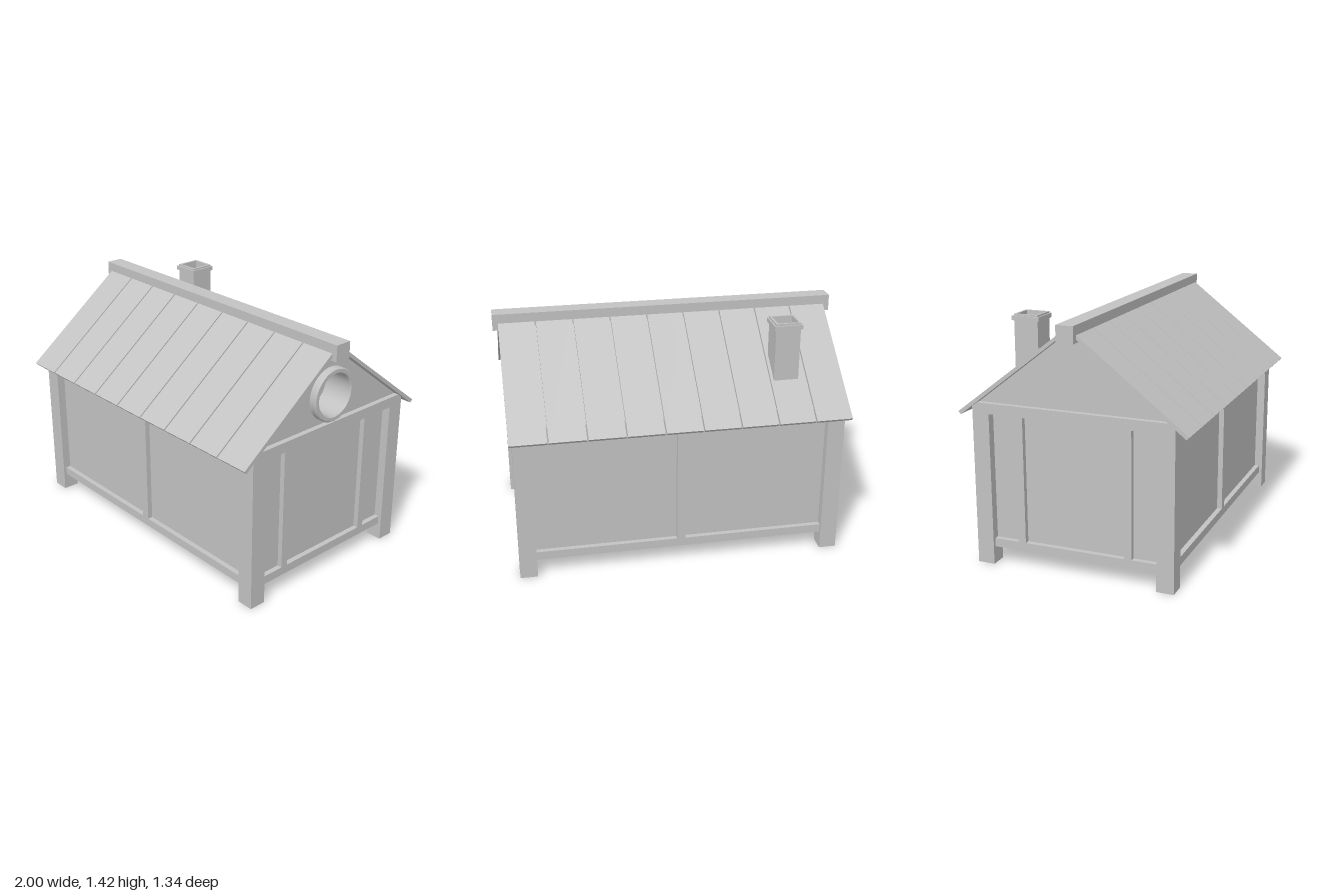
import * as THREE from 'three';
import { toCreasedNormals } from 'three/addons/utils/BufferGeometryUtils.js';

export function createModel() {
  const house = new THREE.Group();
  house.name = 'house';
  const grey = new THREE.MeshStandardMaterial({ color: 0xc2c2c2 });
  grey.name = 'plain grey';

  const add = (name, geometry) => {
    const mesh = new THREE.Mesh(geometry, grey);
    mesh.name = name;
    house.add(mesh);
    return mesh;
  };
  // Box given by its limits on each axis
  const box = (name, x0, x1, y0, y1, z0, z1) =>
    add(name, new THREE.BoxGeometry(x1 - x0, y1 - y0, z1 - z0))
      .position.set((x0 + x1) / 2, (y0 + y1) / 2, (z0 + z1) / 2);
  // Outline of [z, y] points extruded along x from x0 to x1
  const profile = (name, points, x0, x1, hole) => {
    const shape = new THREE.Shape(points.map(p => new THREE.Vector2(p[0], p[1])));
    if (hole) shape.holes.push(hole);
    const g = new THREE.ExtrudeGeometry(shape, { depth: x1 - x0, bevelEnabled: false, curveSegments: 32 });
    g.rotateY(-Math.PI / 2);
    add(name, g).position.x = x1;
  };

  // Wall core and the plate on top of the walls
  box('walls', -0.9, 0.9, 0.1, 0.9, -0.54, 0.54);
  box('topPlate', -0.95, 0.95, 0.885, 0.945, -0.59, 0.59);

  for (const s of [-1, 1]) {
    const span = (a, b) => [Math.min(s * a, s * b), Math.max(s * a, s * b)];
    // Corner posts
    for (const z of [-0.54, 0.54])
      box('cornerPost', ...span(0.85, 0.95), 0, 0.885, z - 0.05, z + 0.05);
    // Bottom rails
    box('longRail', -0.85, 0.85, 0.1, 0.15, ...span(0.53, 0.57));
    box('endRail', ...span(0.89, 0.93), 0.1, 0.15, -0.49, 0.49);
    // Studs
    box('longStud', -0.025, 0.025, 0.15, 0.885, ...span(0.53, 0.57));
    for (const z of [-0.318, 0.318])
      box('endStud', ...span(0.89, 0.93), 0.15, 0.885, z - 0.022, z + 0.022);
  }

  // Attic, with a round recess in the right gable
  const gable = [[-0.57, 0.943], [0.57, 0.943], [0, 1.381]];
  const windowY = 1.11;
  const hole = new THREE.Path();
  hole.absarc(0, windowY, 0.125, 0, Math.PI * 2, true);
  profile('attic', gable, -0.92, 0.78);
  profile('windowGable', gable, 0.78, 0.92, hole);

  // Round window frame
  const ring = [
    [0.155, 0.9], [0.155, 0.955], [0.149, 0.962], [0.128, 0.962],
    [0.122, 0.955], [0.122, 0.78],
  ].map(p => new THREE.Vector2(p[0], p[1]));
  const frame = toCreasedNormals(new THREE.LatheGeometry(ring, 48), 0.5);
  frame.rotateZ(-Math.PI / 2);
  add('windowFrame', frame).position.y = windowY;

  // Roof planks on both slopes
  for (const s of [-1, 1])
    for (let i = 0; i < 9; i++) {
      const x = -0.965 + i * 0.2158;
      profile('roofPlank', [[s * 0.67, 0.888], [s * 0.655, 0.872], [0, 1.381], [0, 1.405]], x, x + 0.208);
    }

  // Ridge beam
  box('ridgeBeam', -1, 1, 1.325, 1.42, -0.05, 0.05);

  // Hollow chimney: square tubes seen from above, extruded upwards
  const square = (h, Type) => new Type([[-h, -h], [h, -h], [h, h], [-h, h]]
    .map(p => new THREE.Vector2(p[0], p[1])));
  const tube = (name, outer, y0, y1) => {
    const shape = square(outer, THREE.Shape);
    shape.holes.push(square(0.06, THREE.Path));
    const g = new THREE.ExtrudeGeometry(shape, { depth: y1 - y0, bevelEnabled: false });
    g.rotateX(-Math.PI / 2);
    add(name, g).position.set(-0.63, y0, -0.375);
  };
  tube('chimneyShaft', 0.072, 1.03, 1.365);
  tube('chimneyCap', 0.082, 1.365, 1.39);
  tube('chimneyRim', 0.073, 1.39, 1.4);
  box('chimneyFloor', -0.69, -0.57, 1.05, 1.098, -0.435, -0.315);

  return house;
}
